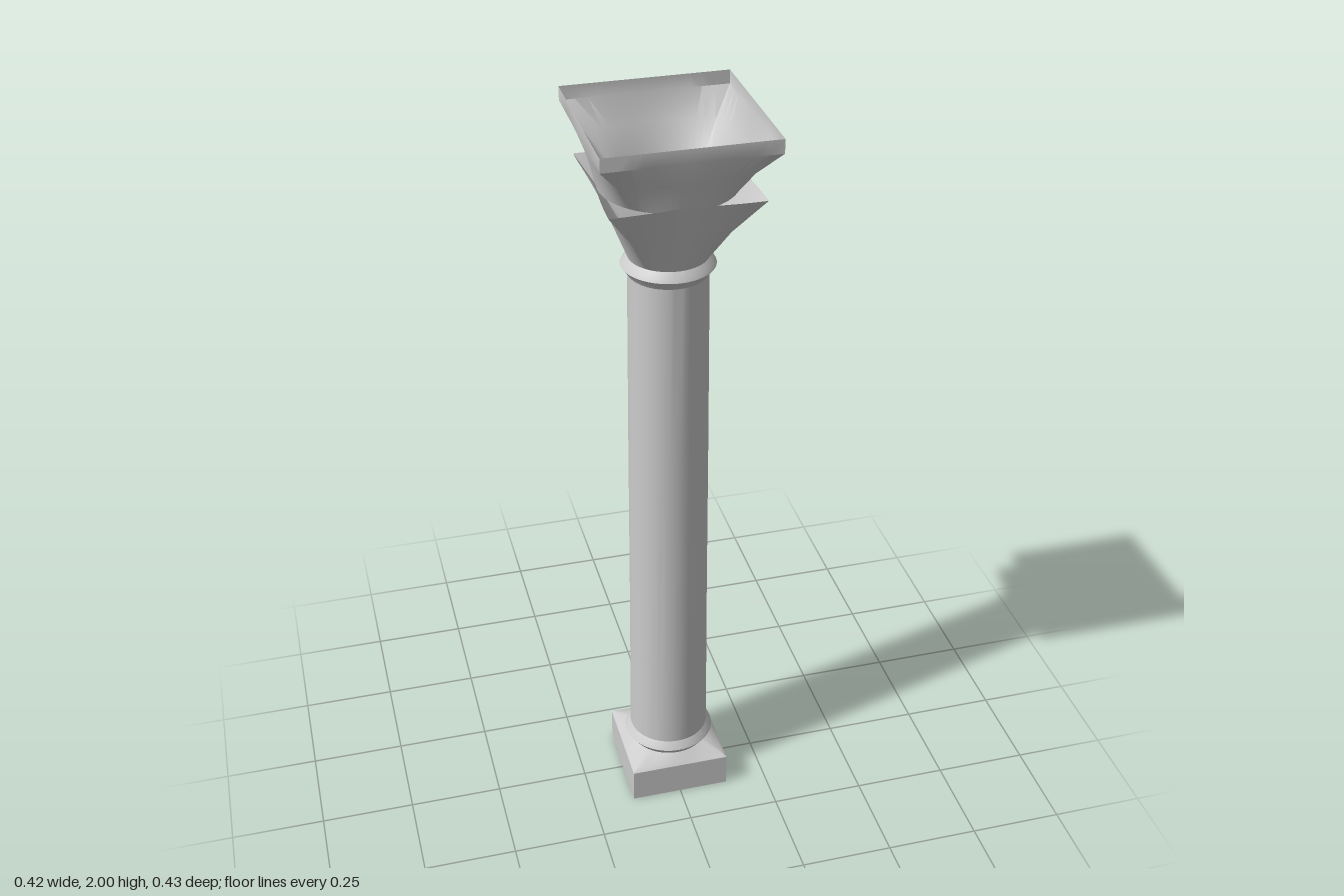
import * as THREE from 'three';
import { toCreasedNormals } from 'three/addons/utils/BufferGeometryUtils.js';

const SEGMENTS = 64;
const material = new THREE.MeshStandardMaterial({ color: 0xcccccc, side: THREE.DoubleSide });

// Ring: y, half-width x, squareness 0 (circle) to 1 (square), optional half-width z, inward bow of the sides
function loft(name, rings) {
  const positions = [], index = [];
  for (const [y, a, square = 0, b = a, bow = 0] of rings) {
    for (let i = 0; i < SEGMENTS; i++) {
      const t = (i / SEGMENTS) * Math.PI * 2;
      const c = Math.cos(t), s = Math.sin(t);
      const toSquare = 1 / Math.max(Math.abs(c), Math.abs(s));
      const r = (1 + (toSquare - 1) * square) * (1 - bow * Math.cos(2 * t) ** 2);
      positions.push(a * r * c, y, b * r * s);
    }
  }
  for (let j = 0; j < rings.length - 1; j++) {
    for (let i = 0; i < SEGMENTS; i++) {
      const p = j * SEGMENTS + i, q = j * SEGMENTS + (i + 1) % SEGMENTS;
      index.push(p, p + SEGMENTS, q, q, p + SEGMENTS, q + SEGMENTS);
    }
  }
  const geometry = new THREE.BufferGeometry();
  geometry.setAttribute('position', new THREE.Float32BufferAttribute(positions, 3));
  geometry.setIndex(index);
  const mesh = new THREE.Mesh(toCreasedNormals(geometry, 0.6), material);
  mesh.name = name;
  return mesh;
}

export function createModel() {
  const column = new THREE.Group();
  column.name = 'column';
  column.add(
    // Hollow square plinth whose top slopes in to the round neck
    loft('plinth', [[0, 0.136, 1], [0.096, 0.136, 1], [0.103, 0.13, 0.9], [0.122, 0.108]]),
    // Collar at the foot of the shaft
    loft('lowerCollar', [[0.122, 0.108], [0.132, 0.115], [0.143, 0.123], [0.15, 0.119], [0.165, 0.108]]),
    // Slightly tapering open shaft
    loft('shaft', [[0.165, 0.108], [0.6, 0.105], [1.1, 0.103], [1.595, 0.1]]),
    // Collar under the capital
    loft('upperCollar', [[1.595, 0.1], [1.608, 0.108], [1.619, 0.117], [1.628, 0.112], [1.642, 0.1]]),
    // Lower bell, round at the neck and opening to four pointed corners
    loft('lowerBell', [[1.642, 0.1], [1.74, 0.142, 0.5, 0.142, 0.02], [1.84, 0.187, 1, 0.187, 0.045]]),
    // Upper funnel, open at both ends, from a circle to a square rim
    loft('upperFunnel', [[1.825, 0.17], [1.9, 0.188, 0.52, 0.19], [1.965, 0.211, 1, 0.217], [2, 0.211, 1, 0.217]]),
  );
  return column;
}
